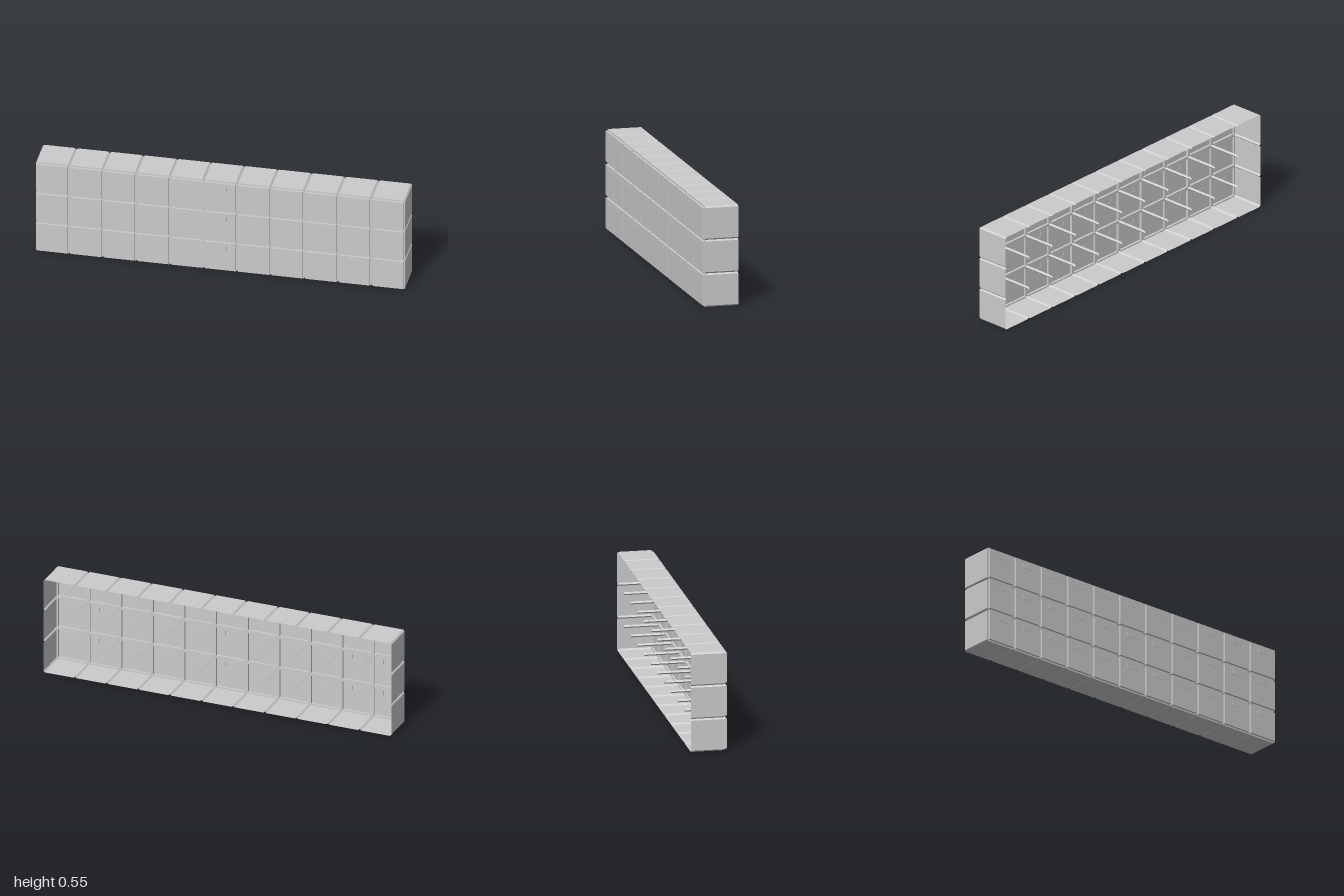
import * as THREE from 'three';
import { mergeGeometries } from 'three/addons/utils/BufferGeometryUtils.js';

const COLS = 11, ROWS = 3;
const S = 2 / COLS;                 // size of one cubic locker
const H = S / 2, C = 0.008;         // half size, chamfer of the long edges
const Z_BACK = -0.098, Z_FRAME = 0.084, Z_DOOR = 0.0965, Z_HANDLE = 0.0985;

const rect = (x0, y0, x1, y1) =>
  [[x0, y0], [x1, y0], [x1, y1], [x0, y1]].map(p => new THREE.Vector2(...p));

// Flat panel at depth z, optionally with an opening
function panel(outline, z, hole) {
  const shape = new THREE.Shape(outline);
  if (hole) shape.holes.push(new THREE.Path(hole));
  return new THREE.ShapeGeometry(shape).toNonIndexed().translate(0, 0, z);
}

// Walls swept along z from the edges of an outline that pass the filter
function walls(outline, z0, z1, keep = () => true) {
  const pos = [], uv = [];
  outline.forEach((a, i) => {
    if (!keep(i)) return;
    const b = outline[(i + 1) % outline.length];
    pos.push(a.x, a.y, z0, b.x, b.y, z0, b.x, b.y, z1);
    pos.push(a.x, a.y, z0, b.x, b.y, z1, a.x, a.y, z1);
    uv.push(0, 0, 1, 0, 1, 1, 0, 0, 1, 1, 0, 1);
  });
  const g = new THREE.BufferGeometry();
  g.setAttribute('position', new THREE.Float32BufferAttribute(pos, 3));
  g.setAttribute('uv', new THREE.Float32BufferAttribute(uv, 2));
  g.computeVertexNormals();
  return g;
}

export function createModel() {
  const group = new THREE.Group();
  group.name = 'lockerWall';
  const material = new THREE.MeshStandardMaterial({ color: 0xcccccc, side: THREE.DoubleSide });

  // Edges in order: bottom, chamfer, right, chamfer, top, chamfer, left, chamfer
  const i = H - C;
  const octagon = [[-i, -H], [i, -H], [H, -i], [H, i], [i, H], [-i, H], [-H, i], [-H, -i]]
    .map(p => new THREE.Vector2(...p));
  const doorOutline = rect(-i, -i, i, i);
  const handleOutline = rect(-0.034, 0.13 - H, 0.034, 0.155 - H);

  const frame = panel(octagon, Z_FRAME, doorOutline);
  const door = mergeGeometries([
    walls(doorOutline, Z_FRAME, Z_DOOR),
    panel(doorOutline, Z_DOOR, handleOutline),
  ]);
  const handle = mergeGeometries([
    walls(handleOutline, Z_DOOR, Z_HANDLE),
    panel(handleOutline, Z_HANDLE),
  ]);

  for (let r = 0; r < ROWS; r++) {
    for (let c = 0; c < COLS; c++) {
      const locker = new THREE.Group();
      locker.name = `locker_${r}_${c}`;
      locker.position.set((c + 0.5) * S - 1, (r + 0.5) * S, 0);

      // Chamfers on every locker, flat walls only around the outside of the block
      const outer = { 0: r === 0, 2: c === COLS - 1, 4: r === ROWS - 1, 6: c === 0 };
      const casing = walls(octagon, Z_BACK, Z_FRAME, e => e % 2 === 1 || outer[e]);

      for (const [name, geometry] of Object.entries({ casing, frame, door, handle })) {
        const mesh = new THREE.Mesh(geometry, material);
        mesh.name = name;
        locker.add(mesh);
      }
      group.add(locker);
    }
  }
  return group;
}
